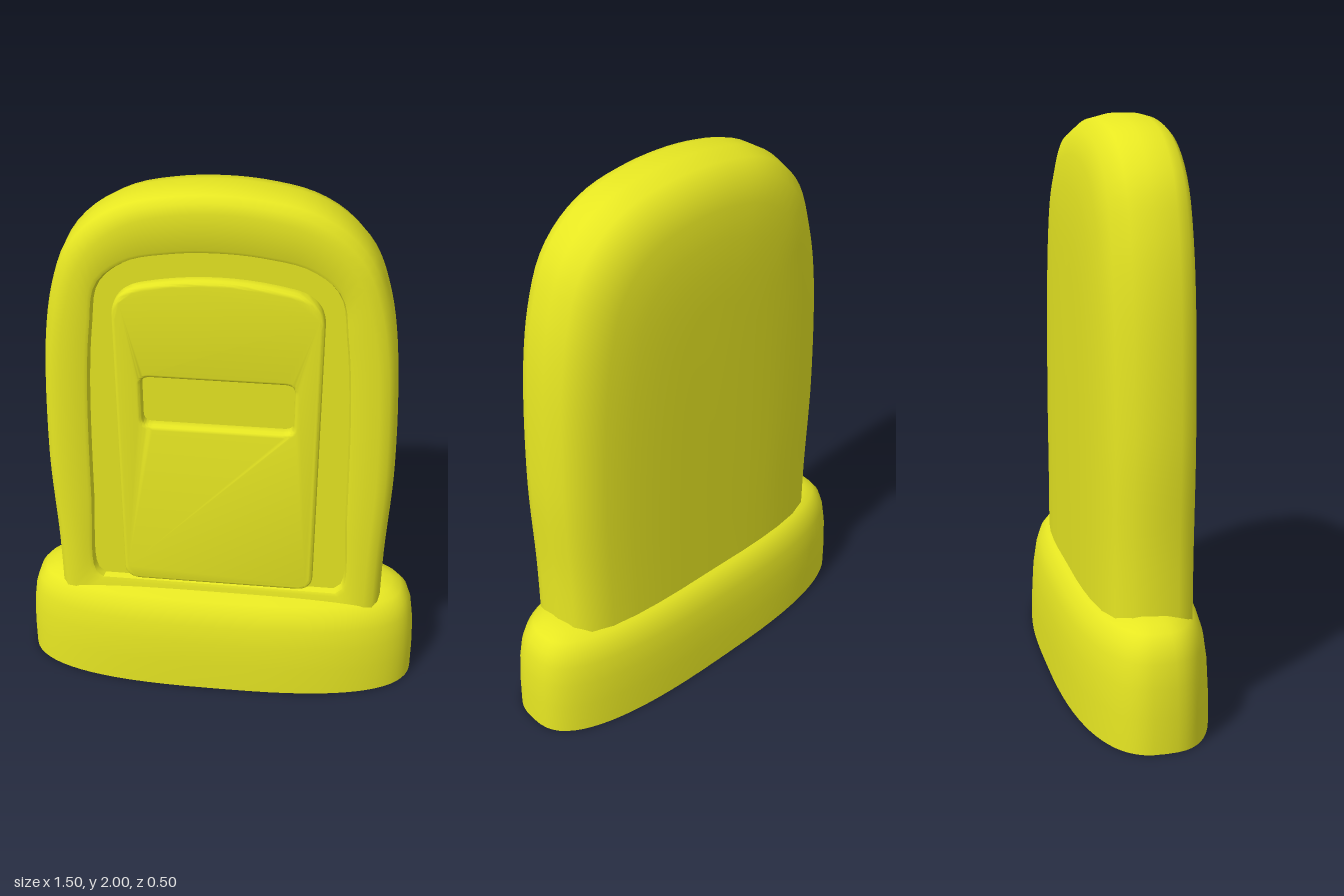
import * as THREE from 'three';
import { toCreasedNormals } from 'three/addons/utils/BufferGeometryUtils.js';

const material = new THREE.MeshStandardMaterial({ color: 0xe6e622 });

// Skin closed rings of equal length (counter-clockwise seen from +z) and cap both ends
function loft(rings, crease = 0.6) {
  const n = rings[0].length, pos = [], idx = [];
  rings.forEach((r) => r.forEach((p) => pos.push(p.x, p.y, p.z)));
  for (let i = 0; i < rings.length - 1; i++) {
    for (let j = 0; j < n; j++) {
      const a = i * n + j, b = i * n + ((j + 1) % n);
      idx.push(a, b, b + n, a, b + n, a + n);
    }
  }
  [0, rings.length - 1].forEach((k) => {
    const c = new THREE.Vector3();
    rings[k].forEach((p) => c.addScaledVector(p, 1 / n));
    const ci = pos.length / 3;
    pos.push(c.x, c.y, c.z);
    for (let j = 0; j < n; j++) {
      const a = k * n + j, b = k * n + ((j + 1) % n);
      if (k === 0) idx.push(ci, b, a);
      else idx.push(ci, a, b);
    }
  });
  const g = new THREE.BufferGeometry();
  g.setAttribute('position', new THREE.Float32BufferAttribute(pos, 3));
  g.setIndex(idx);
  return toCreasedNormals(g, crease);
}

// Smooth arch through half-profile points, mirrored in x
function arch(half, count = 96) {
  const right = half.map(([x, y]) => new THREE.Vector3(x, y, 0));
  const left = half.filter(([x]) => x > 0).reverse().map(([x, y]) => new THREE.Vector3(-x, y, 0));
  return new THREE.CatmullRomCurve3([...right, ...left], false, 'centripetal').getSpacedPoints(count);
}

// Copy of an arch shrunk by d towards (0, y0) and placed at depth z
function inset(pts, d, z, w, h, y0) {
  return pts.map((p) => new THREE.Vector3(p.x * (1 - d / w), y0 + (p.y - y0) * (1 - d / h), z));
}

function mesh(name, geometry) {
  const m = new THREE.Mesh(geometry, material);
  m.name = name;
  return m;
}

// Rounded oval plinth, built lying down and stood up
function plinth() {
  const levels = [[0, 0], [0.12, 0.002], [0.22, 0.008], [0.3, 0.02], [0.35, 0.037],
    [0.385, 0.065], [0.4, 0.1], [0.412, 0.14]];
  const pw = (v) => Math.sign(v) * Math.abs(v) ** (2 / 2.7);
  const rings = levels.map(([y, d]) => Array.from({ length: 72 }, (_, i) => {
    const t = (i / 72) * Math.PI * 2;
    return new THREE.Vector3((0.75 - d) * pw(Math.cos(t)), (0.25 - d) * pw(Math.sin(t)), y);
  }));
  return loft(rings, 0.9).rotateX(-Math.PI / 2);
}

// Upright slab: domed back, soft edges, sunken field in the front
function slab() {
  const outer = arch([[0.605, 0.3], [0.605, 0.6], [0.615, 1.0], [0.59, 1.45], [0.55, 1.66],
    [0.495, 1.8], [0.41, 1.895], [0.3, 1.957], [0.15, 1.99], [0, 2]]);
  const field = arch([[0.44, 0.43], [0.468, 0.46], [0.465, 0.8], [0.45, 1.3], [0.43, 1.52],
    [0.4, 1.68], [0.3, 1.765], [0.15, 1.8], [0, 1.81]]);
  const steps = [[-0.17, 0.45], [-0.167, 0.34], [-0.16, 0.24], [-0.146, 0.14], [-0.12, 0.06],
    [-0.07, 0.018], [0, 0], [0.08, 0], [0.115, 0.009], [0.135, 0.028], [0.143, 0.06]];
  const rings = steps.map(([z, d]) => inset(outer, d, z, 0.61, 1.7, 0.3));
  [[0.143, -0.008], [0.137, 0.003], [0.116, 0.01]].forEach(([z, d]) => {
    rings.push(inset(field, d, z, 0.465, 0.69, 1.12));
  });
  return loft(rings, 0.7);
}

function roundedRect(path, x0, y0, x1, y1, r) {
  path.moveTo(x0 + r, y0);
  path.lineTo(x1 - r, y0).quadraticCurveTo(x1, y0, x1, y0 + r);
  path.lineTo(x1, y1 - r).quadraticCurveTo(x1, y1, x1 - r, y1);
  path.lineTo(x0 + r, y1).quadraticCurveTo(x0, y1, x0, y1 - r);
  path.lineTo(x0, y0 + r).quadraticCurveTo(x0, y0, x0 + r, y0);
  return path;
}

// Raised arched panel with a sunken nameplate slot
function panel() {
  const s = new THREE.Shape();
  s.moveTo(-0.29, 0.465).lineTo(0.29, 0.465);
  s.quadraticCurveTo(0.335, 0.465, 0.335, 0.51).lineTo(0.335, 1.56);
  s.quadraticCurveTo(0.335, 1.65, 0.24, 1.67);
  s.quadraticCurveTo(0, 1.725, -0.24, 1.67);
  s.quadraticCurveTo(-0.335, 1.65, -0.335, 1.56).lineTo(-0.335, 0.51);
  s.quadraticCurveTo(-0.335, 0.465, -0.29, 0.465);
  s.holes.push(roundedRect(new THREE.Path(), -0.275, 1.13, 0.275, 1.355, 0.05));
  const g = new THREE.ExtrudeGeometry(s, {
    depth: 0.03, bevelEnabled: true, bevelThickness: 0.015, bevelSize: 0.015,
    bevelSegments: 4, curveSegments: 10,
  });
  return toCreasedNormals(g.translate(0, 0, 0.11), 0.7);
}

export function createModel() {
  const group = new THREE.Group();
  group.name = 'gravestone';
  group.add(mesh('plinth', plinth()), mesh('slab', slab()), mesh('frontPanel', panel()));
  return group;
}
